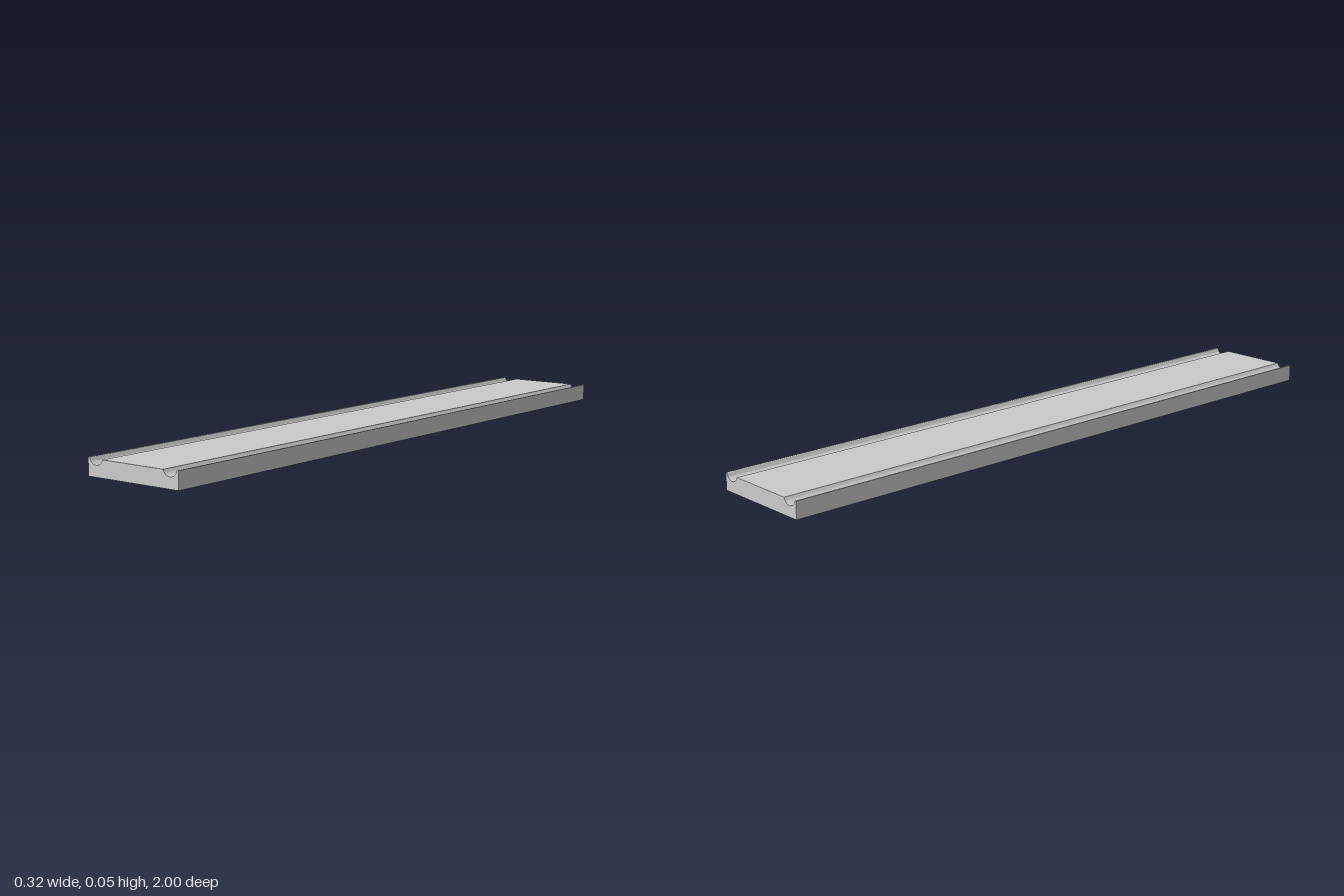
import * as THREE from 'three';
import { toCreasedNormals } from 'three/addons/utils/BufferGeometryUtils.js';

const HALF_WIDTH = 0.1615, LENGTH = 2;
const LIP_Y = 0.051, DECK_Y = 0.049;
const GROOVE = { x: 0.132, y: 0.056, r: 0.024 };

export function createModel() {
  const group = new THREE.Group();
  group.name = 'groovedBoard';

  // Cross-section: flat base, thin outer lips, a round groove beside each lip
  const dip = Math.asin((GROOVE.y - DECK_Y) / GROOVE.r);
  const mouth = GROOVE.r * Math.cos(dip);
  const profile = new THREE.Shape();
  profile.moveTo(-HALF_WIDTH, 0);
  profile.lineTo(HALF_WIDTH, 0);
  profile.lineTo(HALF_WIDTH, LIP_Y);
  profile.lineTo(0.157, LIP_Y);
  profile.quadraticCurveTo(0.1555, LIP_Y, GROOVE.x + mouth, DECK_Y);
  profile.absarc(GROOVE.x, GROOVE.y, GROOVE.r, -dip, -Math.PI + dip, true);
  profile.lineTo(-GROOVE.x + mouth, DECK_Y);
  profile.absarc(-GROOVE.x, GROOVE.y, GROOVE.r, -dip, -Math.PI + dip, true);
  profile.quadraticCurveTo(-0.1555, LIP_Y, -0.157, LIP_Y);
  profile.lineTo(-HALF_WIDTH, LIP_Y);
  profile.closePath();

  // Board extruded along its length
  const geometry = new THREE.ExtrudeGeometry(profile, {
    depth: LENGTH, bevelEnabled: false, curveSegments: 20,
  });
  geometry.translate(0, 0, -LENGTH / 2);
  const board = new THREE.Mesh(
    toCreasedNormals(geometry, 0.5),
    new THREE.MeshStandardMaterial({ color: 0xcccccc }),
  );
  board.name = 'board';
  group.add(board);
  return group;
}
